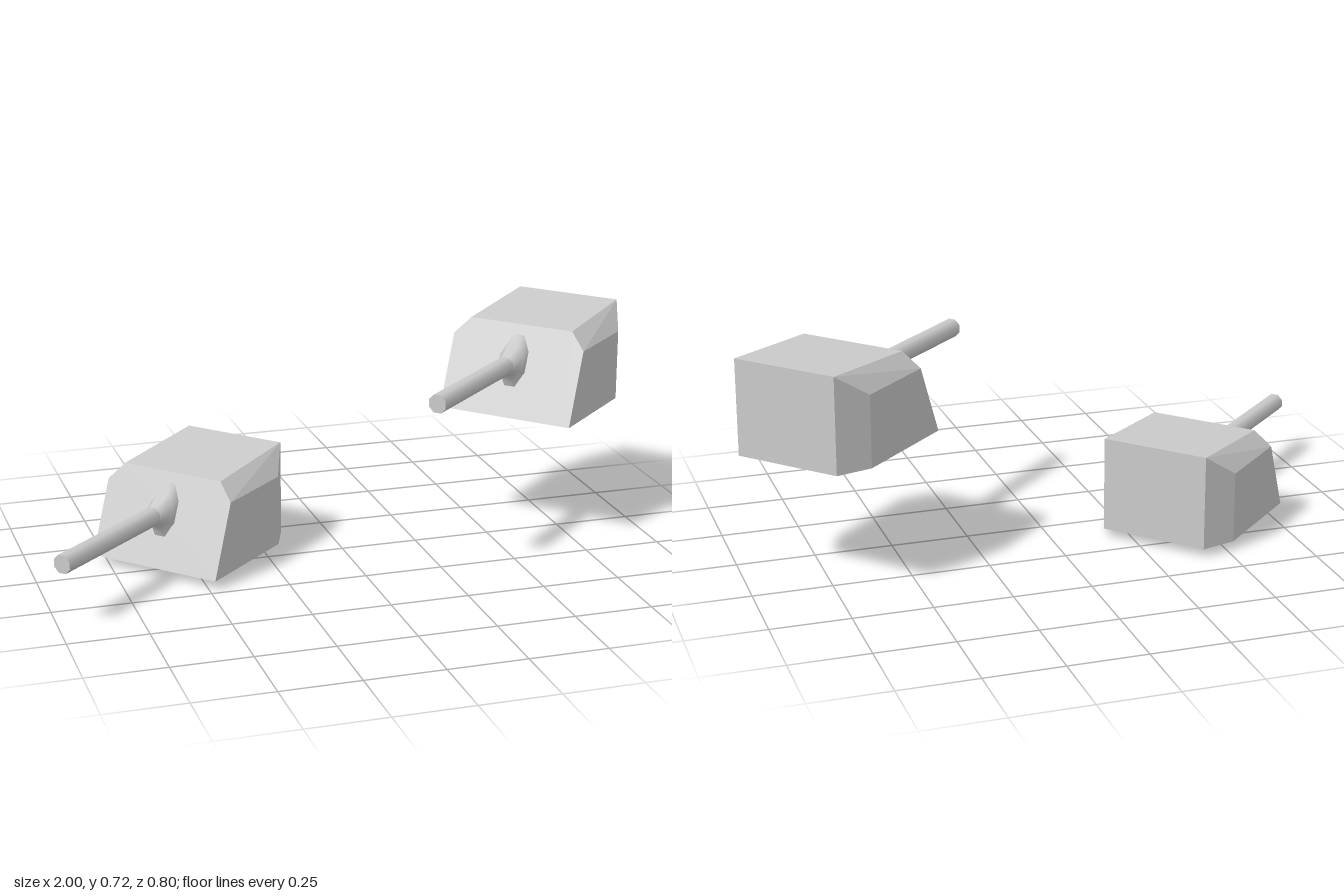
import * as THREE from 'three';
import { ConvexGeometry } from 'three/addons/geometries/ConvexGeometry.js';

const grey = new THREE.MeshStandardMaterial({ color: 0xcccccc });
const greyThin = new THREE.MeshStandardMaterial({ color: 0xcccccc, side: THREE.DoubleSide });

function addPart(parent, name, geometry, material = grey) {
  const mesh = new THREE.Mesh(geometry, material);
  mesh.name = name;
  parent.add(mesh);
  return mesh;
}

// Armoured housing: half of the corners, mirrored across x
function housingGeometry() {
  const half = [
    [0.231, 0.028, 0.248], [0.231, 0.258, 0.153], // sloped front edge
    [0.18, 0.312, 0.131], [0.177, 0.335, -0.232], // roof edge
    [0.231, 0.258, -0.127], [0.231, 0.028, -0.127], // shoulder
    [0.177, 0.028, -0.232], // rear foot
  ];
  const points = half.flatMap(([x, y, z]) => [
    new THREE.Vector3(x, y, z), new THREE.Vector3(-x, y, z),
  ]);
  return new ConvexGeometry(points);
}

// Flared collar: octagonal sections that grow taller and lean with the front plate
function collarGeometry(axisY) {
  const sections = [ // z, half width, half height, backward lean per unit of height
    [0.245, 0.031, 0.031, 0],
    [0.222, 0.036, 0.042, 0.12],
    [0.2, 0.044, 0.063, 0.28],
    [0.172, 0.048, 0.09, 0.41],
  ];
  const sides = 8, positions = [], index = [];
  sections.forEach(([z, w, h, lean], i) => {
    for (let j = 0; j < sides; j++) {
      const a = ((j + 0.5) / sides) * Math.PI * 2;
      const y = Math.sin(a) * h;
      positions.push(Math.cos(a) * w, axisY + y, z - y * lean);
      if (i === 0) continue;
      const k = (j + 1) % sides;
      const p = (i - 1) * sides, q = i * sides;
      index.push(p + j, q + j, q + k, p + j, q + k, p + k);
    }
  });
  const g = new THREE.BufferGeometry();
  g.setAttribute('position', new THREE.Float32BufferAttribute(positions, 3));
  g.setIndex(index);
  g.computeVertexNormals();
  return g;
}

function createTurret(name) {
  const turret = new THREE.Group();
  turret.name = name;
  const axisY = 0.2;

  addPart(turret, 'housing', housingGeometry());

  // Open ring under the housing
  const ring = new THREE.CylinderGeometry(0.158, 0.158, 0.028, 8, 1, true);
  addPart(turret, 'baseRing', ring, greyThin).position.y = 0.014;

  addPart(turret, 'gunCollar', collarGeometry(axisY), greyThin);

  // Eight-sided barrel with flat top
  const length = 0.546;
  const barrel = new THREE.CylinderGeometry(0.031, 0.031, length, 8);
  barrel.rotateY(Math.PI / 8).rotateX(Math.PI / 2);
  addPart(turret, 'gunBarrel', barrel).position.set(0, axisY, 0.17 + length / 2);

  return turret;
}

export function createModel() {
  const model = new THREE.Group();
  model.name = 'gunTurrets';
  const places = [
    ['lowerTurret', -0.457, 0],
    ['upperTurret', 0.71, 0.386],
  ];
  for (const [name, x, y] of places) {
    const turret = createTurret(name);
    turret.position.set(x, y, -0.112);
    turret.rotation.y = -0.823;
    model.add(turret);
  }
  return model;
}
